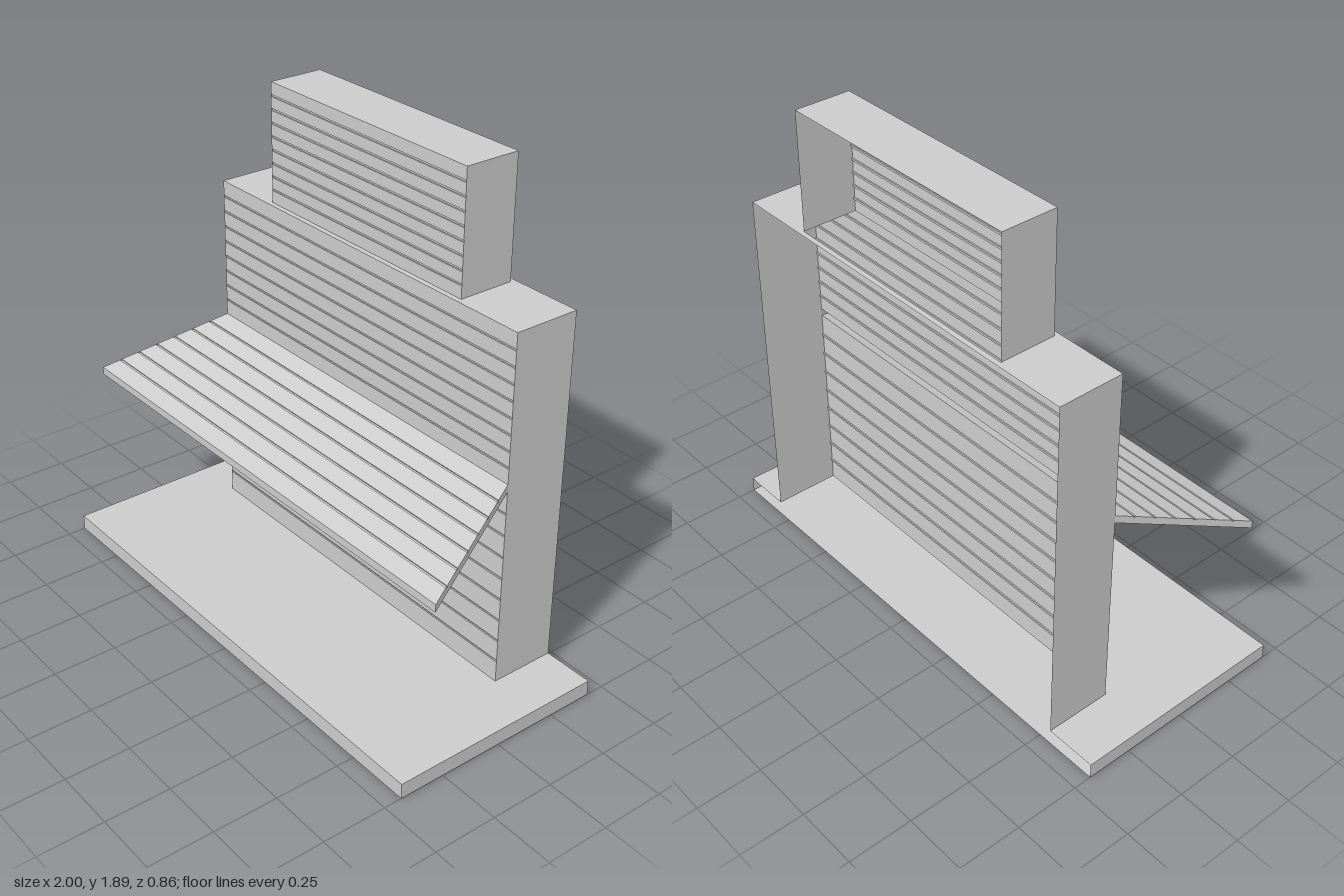
import * as THREE from 'three';

const material = new THREE.MeshStandardMaterial({ color: 0xcccccc, flatShading: true, side: THREE.DoubleSide });

function mesh(name, geometry) {
  const m = new THREE.Mesh(geometry, material);
  m.name = name;
  return m;
}

// Surface stretched between a left and a right edge, each a list of [x, y, z]
function ribbon(name, left, right) {
  const pos = [];
  for (let i = 0; i < left.length - 1; i++) {
    pos.push(...left[i], ...right[i], ...right[i + 1], ...left[i], ...right[i + 1], ...left[i + 1]);
  }
  const g = new THREE.BufferGeometry();
  g.setAttribute('position', new THREE.Float32BufferAttribute(pos, 3));
  g.computeVertexNormals();
  return mesh(name, g);
}

// Plank face from p0 to p1 ([halfWidth, y, z]) with a shallow groove between planks
function planks(name, p0, p1, count, inward) {
  const a = new THREE.Vector3(...p0), b = new THREE.Vector3(...p1);
  const half = 0.004 / a.distanceTo(b);
  const sink = new THREE.Vector3(...inward).multiplyScalar(0.005);
  const pts = [a];
  for (let i = 1; i < count; i++) {
    const t0 = i / count - half, t1 = i / count + half;
    const e0 = a.clone().lerp(b, t0), e1 = a.clone().lerp(b, t1);
    pts.push(e0, e0.clone().add(sink), e1.clone().add(sink), e1);
  }
  pts.push(b);
  return ribbon(name, pts.map(p => [-p.x, p.y, p.z]), pts.map(p => [p.x, p.y, p.z]));
}

// Matching upright end walls at +x and -x
function sides(group, name, w, y0, y1, front, back) {
  group.add(ribbon('left' + name, [[w, y0, front], [w, y1, front]], [[w, y0, back], [w, y1, back]]));
  group.add(ribbon('right' + name, [[-w, y0, back], [-w, y1, back]], [[-w, y0, front], [-w, y1, front]]));
}

// Horizontal sheet outline given as [x, z] corners, with an optional hole
function sheet(name, y, corners, hole) {
  const toPoints = list => list.map(([x, z]) => new THREE.Vector2(x, -z));
  const shape = new THREE.Shape(toPoints(corners));
  if (hole) shape.holes.push(new THREE.Path(toPoints(hole)));
  return mesh(name, new THREE.ShapeGeometry(shape).rotateX(-Math.PI / 2).translate(0, y, 0));
}

const rect = (w, front, back) => [[-w, front], [w, front], [w, back], [-w, back]];

export function createModel() {
  const model = new THREE.Group();
  const BASE = 0.06, EAVE = 0.845, SLOT = 0.875, ROOF = 1.435, TOP = 1.895;
  const W = 0.8, F = -0.17, B = -0.43;     // main wall half-width, front, back
  const SW = 0.515, SF = -0.19, SB = -0.41; // upper sign block

  // Hollow base, open at the back and below the wall
  const base = new THREE.Group();
  base.name = 'base';
  base.add(ribbon('baseFront', [[-1, 0, 0.43], [-1, BASE, 0.43]], [[1, 0, 0.43], [1, BASE, 0.43]]));
  sides(base, 'BaseEdge', 1, 0, BASE, 0.43, B);
  base.add(sheet('baseTop', BASE,
    [[-1, 0.43], [1, 0.43], [1, B], [W, B], [W, F], [-W, F], [-W, B], [-1, B]]));
  const bottom = sheet('baseBottom', 0, rect(1, 0.43, B));
  bottom.geometry.rotateZ(Math.PI);
  base.add(bottom);
  model.add(base);

  // Planked facade, open at the back, with a slot where the awning joins
  const facade = new THREE.Group();
  facade.name = 'facade';
  facade.add(planks('lowerPlanks', [W, BASE, F], [W, EAVE, F], 9, [0, 0, -1]));
  facade.add(planks('upperPlanks', [W, SLOT, F], [W, ROOF, F], 9, [0, 0, -1]));
  sides(facade, 'Wall', W, BASE, ROOF, F, B);
  facade.add(sheet('facadeTop', ROOF, rect(W, F, B), rect(SW, SF, SB)));
  model.add(facade);

  // Sign block on top, open at the back and below
  const sign = new THREE.Group();
  sign.name = 'signBlock';
  sign.add(planks('signPlanks', [SW, ROOF, SF], [SW, TOP, SF], 9, [0, 0, -1]));
  sides(sign, 'SignWall', SW, ROOF, TOP, SF, SB);
  sign.add(sheet('signTop', TOP, rect(SW, SF, SB)));
  model.add(sign);

  // Sloping awning that flares towards the front
  const awning = new THREE.Group();
  awning.name = 'awning';
  const A = 0.985, AF = 0.3, low = 0.68, lip = 0.71;
  awning.add(planks('awningPlanks', [A, lip, AF], [W, SLOT, F], 7, [0, -0.94, -0.33]));
  awning.add(ribbon('awningUnderside', [[-W, EAVE, F], [-A, low, AF]], [[W, EAVE, F], [A, low, AF]]));
  awning.add(ribbon('awningLip', [[-A, low, AF], [-A, lip, AF]], [[A, low, AF], [A, lip, AF]]));
  awning.add(ribbon('awningLeftEdge', [[A, low, AF], [A, lip, AF]], [[W, EAVE, F], [W, SLOT, F]]));
  awning.add(ribbon('awningRightEdge', [[-W, EAVE, F], [-W, SLOT, F]], [[-A, low, AF], [-A, lip, AF]]));
  model.add(awning);

  return model;
}
